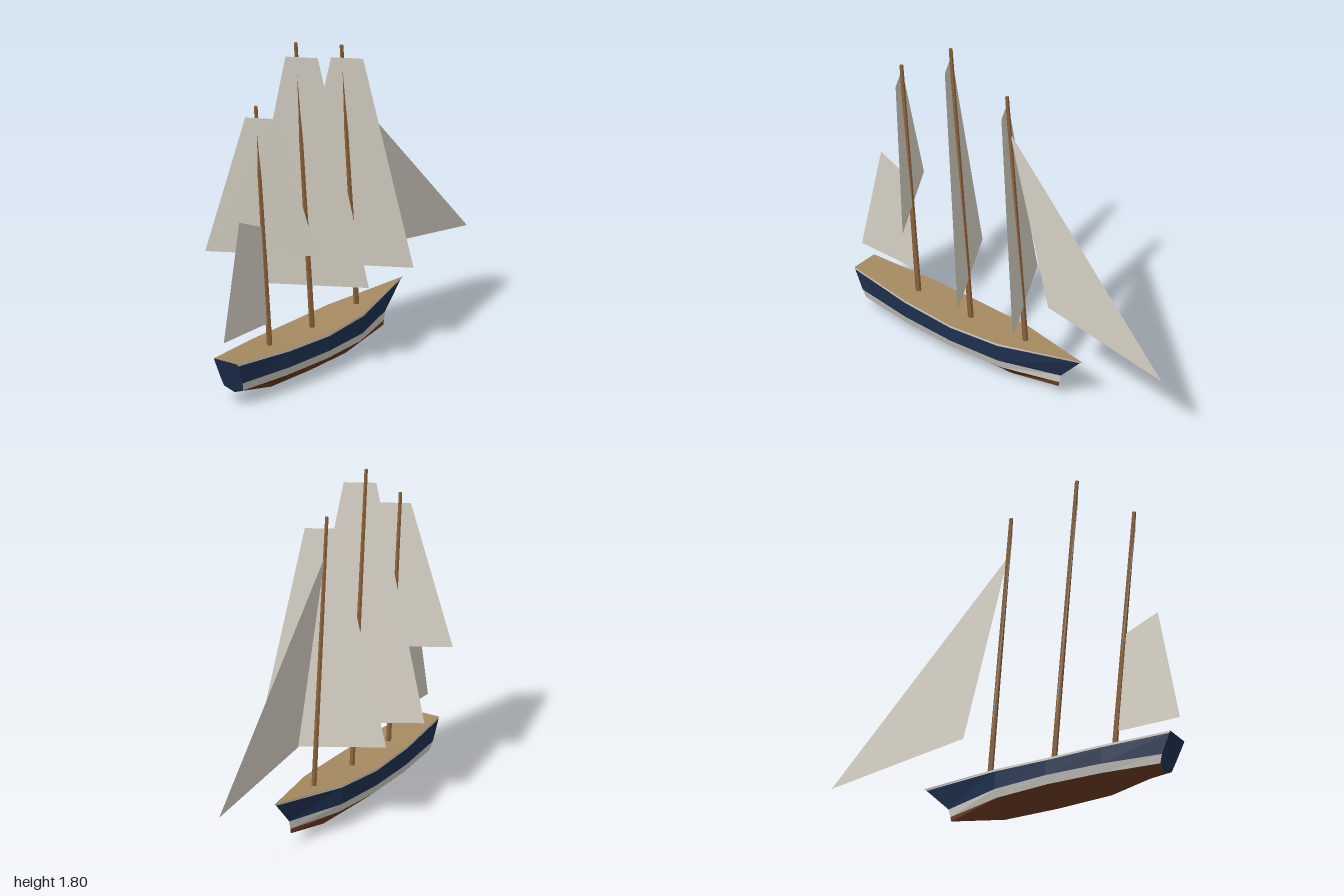
import * as THREE from 'three';

const CENTRE_Z = 0.025;

const mat = (color, side = THREE.FrontSide) =>
  new THREE.MeshStandardMaterial({ color, flatShading: true, side });

// Mesh from four-cornered faces, corners counter-clockwise
function quadMesh(name, quads, material) {
  const pos = [];
  for (const [a, b, c, d] of quads) pos.push(...a, ...b, ...c, ...a, ...c, ...d);
  const geo = new THREE.BufferGeometry();
  geo.setAttribute('position', new THREE.Float32BufferAttribute(pos, 3));
  geo.computeVertexNormals();
  const mesh = new THREE.Mesh(geo, material);
  mesh.name = name;
  return mesh;
}

// Hull cross-sections, stern to bow; each level is [x, y, half width], keel first
const stations = [
  [[-0.91, 0.075, 0], [-0.92, 0.1, 0.06], [-0.935, 0.145, 0.07], [-0.98, 0.25, 0.075], [-0.985, 0.262, 0.075]],
  [[-0.61, 0.016, 0], [-0.61, 0.1, 0.1], [-0.61, 0.145, 0.115], [-0.61, 0.233, 0.12], [-0.61, 0.245, 0.12]],
  [[-0.3, 0.01, 0], [-0.3, 0.1, 0.113], [-0.3, 0.145, 0.128], [-0.3, 0.225, 0.131], [-0.3, 0.237, 0.131]],
  [[0.0, 0.016, 0], [0.0, 0.1, 0.092], [0.0, 0.145, 0.106], [0.0, 0.238, 0.112], [0.0, 0.25, 0.112]],
  [[0.31, 0.075, 0], [0.315, 0.1, 0], [0.325, 0.145, 0], [0.45, 0.276, 0], [0.467, 0.288, 0]],
];
const point = (i, level, side) => {
  const [x, y, w] = stations[i][level];
  return [x, y, CENTRE_Z + side * w];
};

function makeHull() {
  const hull = new THREE.Group();
  hull.name = 'hull';
  const navy = mat(0x1f3150);
  const bands = [
    ['lowerHull', mat(0x6b3a22)],
    ['waterlineStripe', mat(0xcfccc4)],
    ['upperHull', navy],
    ['rail', mat(0xcfccc4)],
  ];
  // Side bands, mirrored port and starboard
  bands.forEach(([name, material], level) => {
    const quads = [];
    for (let i = 0; i < stations.length - 1; i++) {
      for (const s of [1, -1]) {
        const q = [point(i, level, s), point(i + 1, level, s), point(i + 1, level + 1, s), point(i, level + 1, s)];
        quads.push(s > 0 ? q : q.reverse());
      }
    }
    hull.add(quadMesh(name, quads, material));
  });
  // Deck
  const deck = [];
  for (let i = 0; i < stations.length - 1; i++)
    deck.push([point(i, 4, 1), point(i + 1, 4, 1), point(i + 1, 4, -1), point(i, 4, -1)]);
  hull.add(quadMesh('deck', deck, mat(0xa58a60)));
  // Flat stern
  const stern = [];
  for (let l = 0; l < 4; l++)
    stern.push([point(0, l, 1), point(0, l + 1, 1), point(0, l + 1, -1), point(0, l, -1)]);
  hull.add(quadMesh('transom', stern, navy));
  return hull;
}

// Tapered mast leaning aft
function makeMast(name, base, top, material) {
  const a = new THREE.Vector3(base[0], base[1], CENTRE_Z);
  const b = new THREE.Vector3(top[0], top[1], CENTRE_Z);
  const dir = b.clone().sub(a);
  const mesh = new THREE.Mesh(new THREE.CylinderGeometry(0.01, 0.015, dir.length(), 6), material);
  mesh.position.copy(a).add(b).multiplyScalar(0.5);
  mesh.quaternion.setFromUnitVectors(new THREE.Vector3(0, 1, 0), dir.normalize());
  mesh.name = name;
  return mesh;
}

export function createModel() {
  const model = new THREE.Group();
  model.name = 'sailingShip';
  model.add(makeHull());

  const wood = mat(0x8a6039);
  const cloth = mat(0xd6d0c4, THREE.DoubleSide);

  // Masts
  model.add(
    makeMast('foreMast', [0.092, 0.22], [-0.034, 1.68], wood),
    makeMast('mainMast', [-0.273, 0.21], [-0.41, 1.805], wood),
    makeMast('mizzenMast', [-0.622, 0.22], [-0.738, 1.56], wood),
  );

  // Square sails, swung around the masts
  model.add(
    quadMesh('foreSail', [[[-0.1, 0.465, -0.285], [0.227, 0.465, 0.282], [0.015, 1.615, 0.125], [-0.065, 1.615, -0.017]]], cloth),
    quadMesh('mainSail', [[[-0.466, 0.465, -0.285], [-0.14, 0.465, 0.282], [-0.36, 1.73, 0.127], [-0.44, 1.73, -0.017]]], cloth),
    quadMesh('mizzenSail', [[[-0.815, 0.745, -0.237], [-0.53, 0.745, 0.255], [-0.69, 1.5, 0.125], [-0.77, 1.5, -0.017]]], cloth),
  );

  // Fore-and-aft sails on the centre line
  const flatSail = (name, outline) => {
    const geo = new THREE.ShapeGeometry(new THREE.Shape(outline.map(([x, y]) => new THREE.Vector2(x, y))));
    const mesh = new THREE.Mesh(geo, cloth);
    mesh.position.z = CENTRE_Z;
    mesh.name = name;
    return mesh;
  };
  model.add(
    flatSail('jib', [[-0.015, 1.47], [0.24, 0.52], [0.995, 0.408]]),
    flatSail('spanker', [[-1.0, 0.364], [-0.635, 0.364], [-0.682, 0.893], [-0.873, 0.975]]),
  );
  return model;
}
